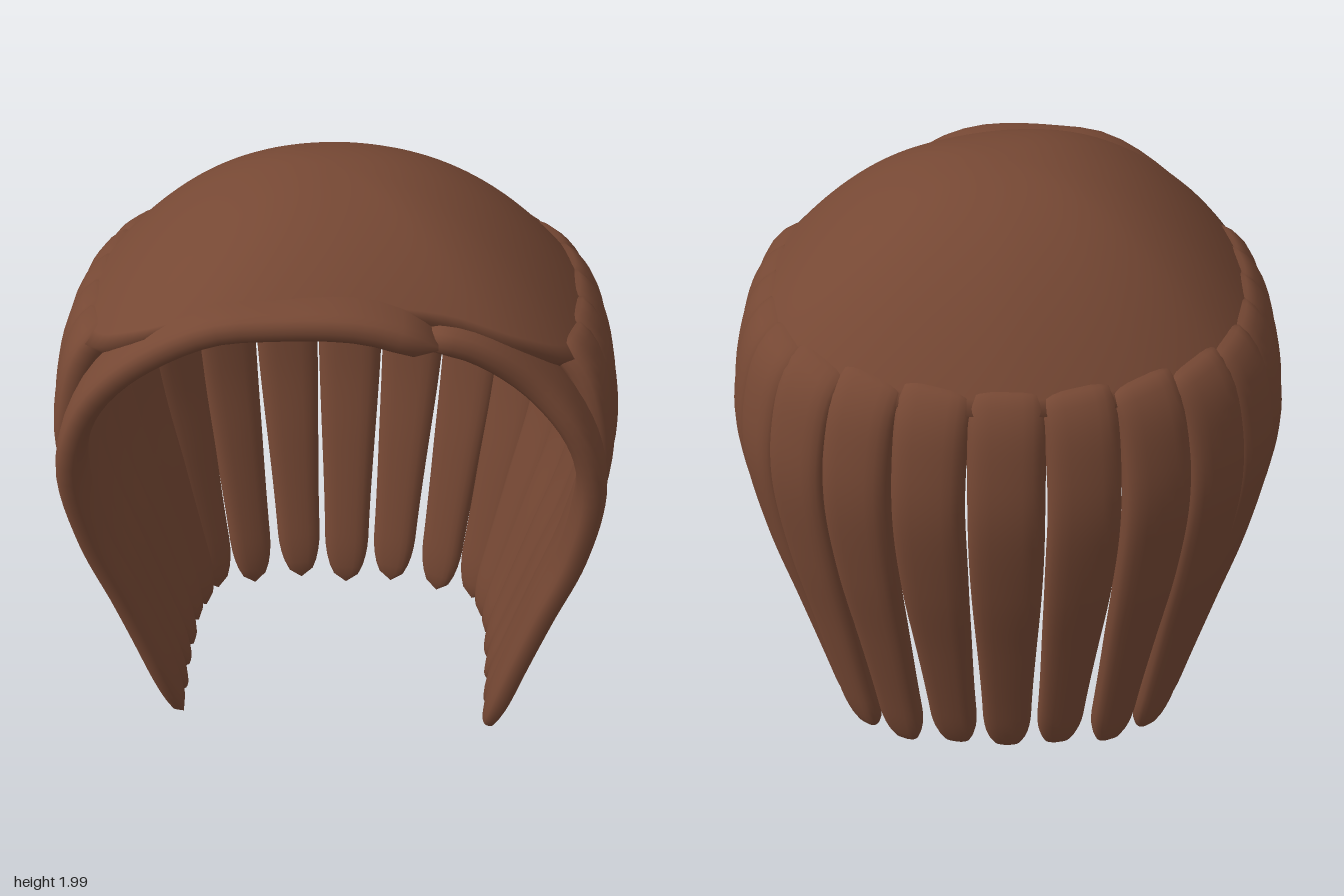
import * as THREE from 'three';

const hair = new THREE.MeshStandardMaterial({ color: 0x764834, side: THREE.DoubleSide });
hair.name = 'chestnut brown';

// Skin a list of closed rings (each an array of Vector3) into a smooth mesh
function skin(name, rings) {
  const n = rings[0].length, index = [];
  for (let i = 0; i < rings.length - 1; i++) {
    for (let j = 0; j < n; j++) {
      const a = i * n + j, b = i * n + (j + 1) % n;
      index.push(a, b, a + n, b, b + n, a + n);
    }
  }
  const geo = new THREE.BufferGeometry().setFromPoints(rings.flat());
  geo.setIndex(index);
  geo.computeVertexNormals();
  const mesh = new THREE.Mesh(geo, hair);
  mesh.name = name;
  return mesh;
}

const squash = (v) => Math.sign(v) * Math.abs(v) ** 0.75;

// A flat lock swept along a path: full at the root, narrowing to a round tip
function lock(name, points, across, halfWidth, halfDepth) {
  const curve = new THREE.CatmullRomCurve3(points);
  const rows = 44, sides = 20, rings = [];
  for (let i = 0; i <= rows; i++) {
    const t = i / rows;
    const p = curve.getPointAt(t), T = curve.getTangentAt(t);
    const W = across.clone().addScaledVector(T, -across.dot(T)).normalize();
    const N = T.clone().cross(W);
    const tip = Math.sqrt(Math.max(0.0002, 1 - Math.max(0, (t - 0.88) / 0.12) ** 2));
    const root = Math.sqrt(Math.max(0.02, 1 - Math.max(0, 1 - t / 0.04) ** 2));
    const taper = 1 - 0.3 * THREE.MathUtils.smoothstep(t, 0.3, 0.95);
    const w = halfWidth * taper * tip * (0.6 + 0.4 * root);
    const d = halfDepth * (1 - 0.25 * t) * tip * root;
    const ring = [];
    for (let j = 0; j < sides; j++) {
      const a = (j / sides) * Math.PI * 2;
      ring.push(p.clone()
        .addScaledVector(W, squash(Math.cos(a)) * w)
        .addScaledVector(N, squash(Math.sin(a)) * d));
    }
    rings.push(ring);
  }
  return skin(name, rings);
}

// Domed cap running from the crown to an uneven rim, with an inner lining
function cap() {
  const rim = new THREE.CatmullRomCurve3([
    [0, 1.82, 0.59], [-0.3, 1.79, 0.6], [-0.55, 1.68, 0.55], [-0.71, 1.57, 0.4],
    [-0.76, 1.55, 0.12], [-0.73, 1.56, -0.14], [-0.63, 1.56, -0.34], [-0.4, 1.555, -0.5],
    [0, 1.55, -0.58],
    [0.4, 1.555, -0.5], [0.63, 1.56, -0.34], [0.73, 1.56, -0.14], [0.76, 1.55, 0.12],
    [0.71, 1.57, 0.38], [0.55, 1.67, 0.5], [0.33, 1.77, 0.54],
  ].map((p) => new THREE.Vector3(...p)), true);
  const edge = rim.getPoints(96).slice(0, 96);
  const layer = (u, scale, drop) => edge.map((e) => new THREE.Vector3(
    e.x * u * scale,
    2 - drop - (2 - e.y) * u ** 2.15,
    0.08 + (e.z - 0.08) * u * scale,
  ));
  const rings = [], rows = 24;
  for (let i = 0; i <= rows; i++) rings.push(layer(Math.max(0.002, i / rows), 1, 0));
  for (let i = rows; i >= 0; i--) rings.push(layer(Math.max(0.002, i / rows), 0.94, 0.04));
  return skin('crownCap', rings);
}

export function createModel() {
  const group = new THREE.Group();
  group.name = 'bobbedHair';
  group.add(cap());

  // Hanging locks from centre back to the side: widest x, z then tip x, z, half width
  const rows = [
    [0, -0.6, 0, -0.37, 0.112],
    [0.225, -0.585, 0.165, -0.37, 0.108],
    [0.435, -0.525, 0.335, -0.345, 0.105],
    [0.61, -0.43, 0.465, -0.29, 0.105],
    [0.73, -0.3, 0.5, -0.21, 0.1],
    [0.79, -0.14, 0.515, -0.11, 0.1],
    [0.81, 0.03, 0.52, 0.0, 0.098],
    [0.81, 0.2, 0.52, 0.12, 0.098],
    [0.79, 0.35, 0.52, 0.22, 0.098],
  ];
  // Height, then how far the lock has swung from its tip out to its widest point
  const swing = [[1.2, 1], [0.9, 0.83], [0.6, 0.54], [0.3, 0.25]];

  for (const side of [1, -1]) {
    rows.forEach(([xm, zm, xb, zb, w], i) => {
      if (i === 0 && side < 0) return;
      const before = i ? rows[i - 1] : [-0.225, -0.585];
      const after = rows[Math.min(i + 1, rows.length - 1)];
      const across = new THREE.Vector3(side * (after[0] - before[0]), 0, after[1] - before[1]).normalize();
      const path = [[xm * 0.82, 1.61, zm * 0.82], [xm * 0.92, 1.52, zm * 0.92], [xm * 0.98, 1.37, zm * 0.98]];
      for (const [y, k] of swing) path.push([xb + (xm - xb) * k, y, zb + (zm - zb) * k]);
      path.push([xb, 0.03 + 0.015 * (i % 2), zb]);
      const points = path.map(([x, y, z]) => new THREE.Vector3(side * x, y, z));
      group.add(lock((i < 4 ? 'backLock' : 'sideLock') + i + (side > 0 ? 'Left' : 'Right'), points, across, w, 0.05));
    });

    // Front locks sweep from the parting around the face and down to the tip
    const start = side > 0
      ? [[0.25, 1.735, 0.48], [0.4, 1.695, 0.47], [0.57, 1.57, 0.45]]
      : [[-0.3, 1.725, 0.53], [-0.1, 1.795, 0.55], [0.15, 1.795, 0.555], [0.32, 1.765, 0.55], [0.57, 1.59, 0.5]];
    const face = [...start, [0.71, 1.4, 0.46], [0.77, 1.2, 0.45], [0.745, 0.9, 0.41],
      [0.665, 0.6, 0.37], [0.585, 0.3, 0.34], [0.515, 0.01, 0.31]];
    const points = face.map(([x, y, z]) => new THREE.Vector3(side * x, y, z));
    group.add(lock(side > 0 ? 'frontLockLeft' : 'fringeLockRight', points, new THREE.Vector3(0, 0, 1), 0.105, 0.05));
  }
  return group;
}
